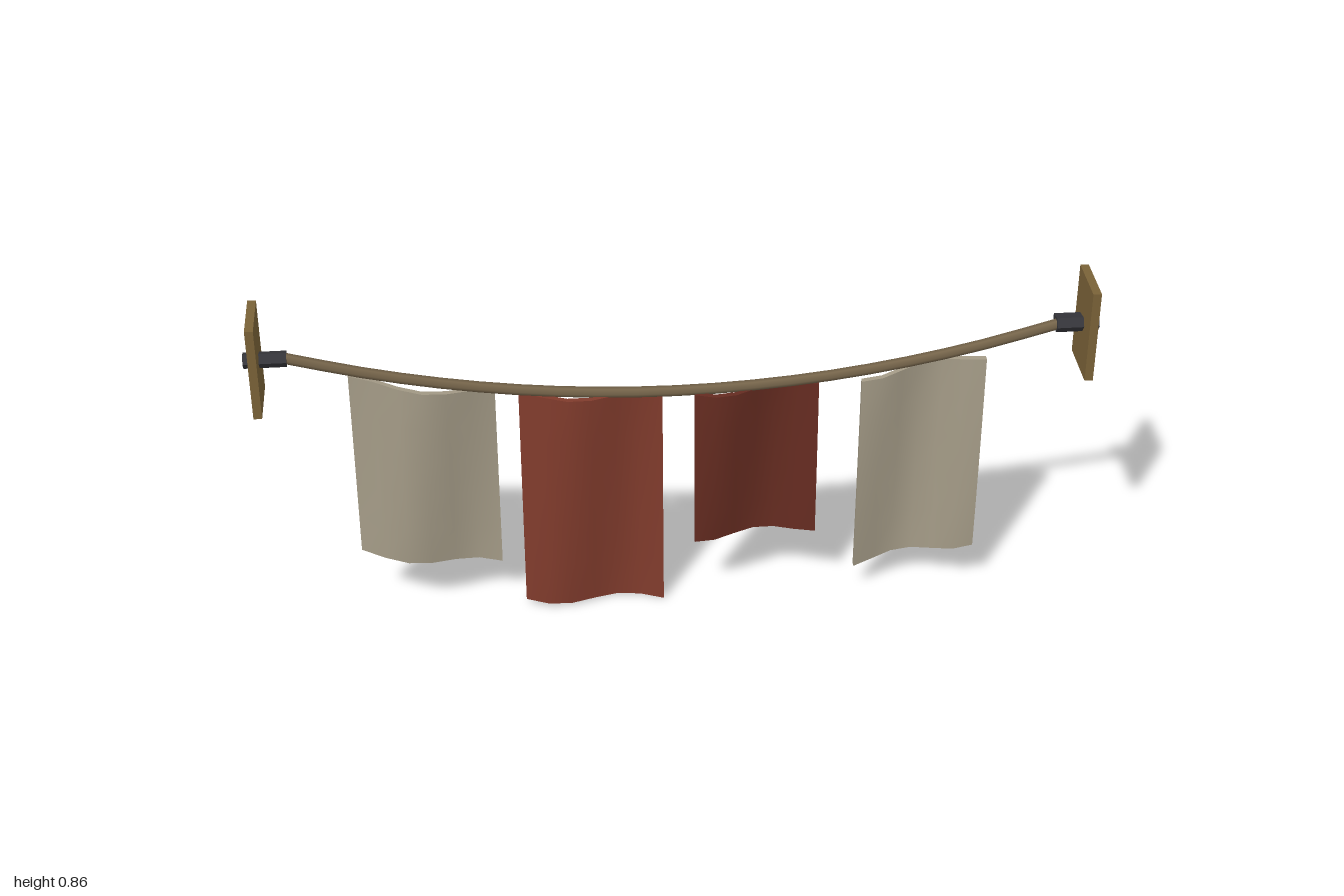
import * as THREE from 'three';

const paint = (color, flatShading = false) => new THREE.MeshStandardMaterial({ color, flatShading });

const materials = {
  wood: paint(0x7a6238),
  iron: paint(0x35353a, true),
  rope: paint(0x75644a),
  cream: paint(0xa39a86),
  red: paint(0x803b2c),
  darkRed: paint(0x642b20),
};

function part(name, geometry, material) {
  const mesh = new THREE.Mesh(geometry, material);
  mesh.name = name;
  return mesh;
}

// Cloth panel: a thin box sheared to follow the rope's sag and rippled in depth
function clothPanel(x0, x1, height, bottomPhase) {
  const width = x1 - x0;
  const geo = new THREE.BoxGeometry(width, height, 0.014, 6, 5, 1);
  const pos = geo.attributes.position;
  for (let i = 0; i < pos.count; i++) {
    const u = pos.getX(i) / width + 0.5;
    const drop = 0.5 - pos.getY(i) / height;
    const x = x0 + u * width;
    const y = 0.597 + 0.135 * x * x - drop * height;
    const ripple = 0.023 * Math.sin(Math.PI * 2 * u + bottomPhase - 1 + drop);
    pos.setXYZ(i, x, y, pos.getZ(i) + ripple);
  }
  geo.computeVertexNormals();
  return geo;
}

// Five-sided peg along x; the inner-wall peg on +x is stretched towards the back
function pegGeometry(stretchBack) {
  const geo = new THREE.CylinderGeometry(0.02, 0.02, 0.1, 5);
  geo.rotateZ(Math.PI / 2);
  const pos = geo.attributes.position;
  for (let i = 0; i < pos.count; i++) {
    if (stretchBack && pos.getZ(i) < -0.01) pos.setZ(i, -0.03);
  }
  geo.computeVertexNormals();
  return geo;
}

export function createModel() {
  const model = new THREE.Group();
  model.name = 'hangingBanners';

  // Wall plates and pegs at both ends
  for (const [side, s] of [['left', 1], ['right', -1]]) {
    const plate = part(side + 'Plate', new THREE.BoxGeometry(0.02, 0.235, 0.14), materials.wood);
    plate.position.set(s * 0.973, 0.742, 0);
    const peg = part(side + 'Peg', pegGeometry(s > 0), materials.iron);
    peg.position.set(s * 0.95, 0.742, 0);
    model.add(plate, peg);
  }

  // Sagging rope
  const points = [];
  for (let i = 0; i <= 10; i++) {
    const x = -0.91 + 0.182 * i;
    points.push(new THREE.Vector3(x, 0.605 + 0.168 * x * x, 0));
  }
  const rope = new THREE.TubeGeometry(new THREE.CatmullRomCurve3(points), 20, 0.013, 6);
  model.add(part('rope', rope, materials.rope));

  // Cloth panels: x start, x end, height, ripple phase at the hem, colour
  const panels = [
    [-0.765, -0.425, 0.492, -0.6, 'cream'],
    [-0.37, -0.03, 0.594, 0.2, 'red'],
    [0.045, 0.34, 0.415, 1.2, 'darkRed'],
    [0.44, 0.735, 0.54, 2.1, 'cream'],
  ];
  panels.forEach(([x0, x1, height, phase, color], i) => {
    model.add(part('clothPanel' + (i + 1), clothPanel(x0, x1, height, phase), materials[color]));
  });

  return model;
}
